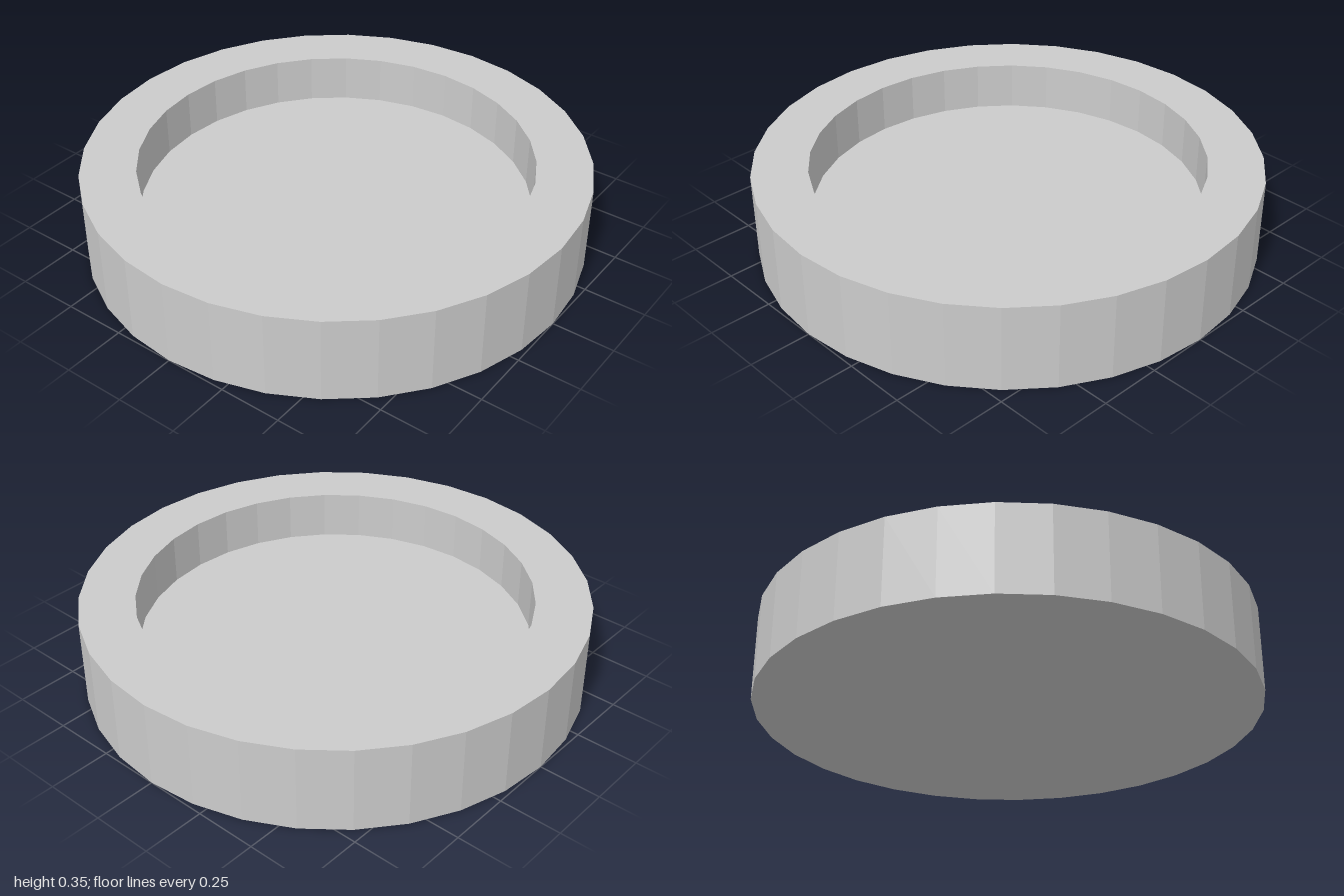
import * as THREE from 'three';

const SIDES = 32;
const OUTER = 1, INNER = 0.78, HEIGHT = 0.35, FLOOR = 0.15;

export function createModel() {
  const group = new THREE.Group();
  group.name = 'roundTray';

  // Closed profile: underside, outer wall, flat rim, inner wall, recessed floor
  const profile = [
    [0, 0], [OUTER, 0], [OUTER, HEIGHT],
    [INNER, HEIGHT], [INNER, FLOOR], [0, FLOOR],
  ].map(([r, y]) => new THREE.Vector2(r, y));

  const dish = new THREE.Mesh(
    new THREE.LatheGeometry(profile, SIDES),
    new THREE.MeshStandardMaterial({ color: 0xcccccc, flatShading: true })
  );
  dish.name = 'dish';
  group.add(dish);

  return group;
}
